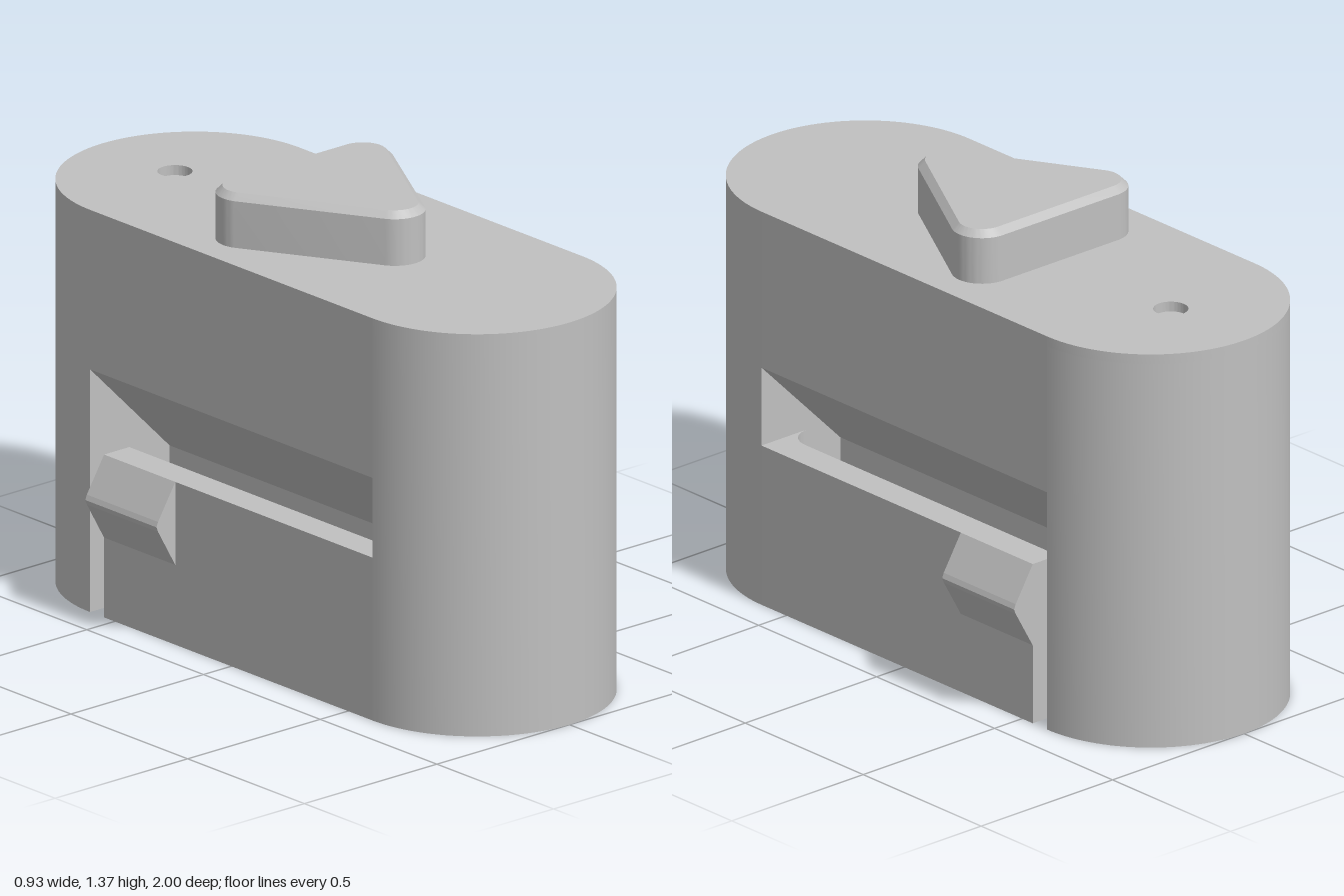
import * as THREE from 'three';
import { toCreasedNormals } from 'three/addons/utils/BufferGeometryUtils.js';

const R = 0.395;      // half width and end radius
const ZC = 0.605;     // centre of the rounded ends
const H = 1.21;       // body height
const ARM_TOP = 0.49;

const casing = new THREE.MeshStandardMaterial({ color: 0xc0c0c0 });
casing.name = 'casing grey';

const polygon = (points) => new THREE.Shape(points.map(([x, y]) => new THREE.Vector2(x, y)));

// Plan outline (x, z) extruded between two heights
function plan(shape, y0, y1, options = {}) {
  const g = new THREE.ExtrudeGeometry(shape, { depth: y1 - y0, bevelEnabled: false, curveSegments: 32, ...options });
  g.rotateX(Math.PI / 2);
  g.translate(0, y1, 0);
  return toCreasedNormals(g, 0.5);
}

// Front profile (x, y) extruded from z0 to z1
function profile(points, z0, z1) {
  const g = new THREE.ExtrudeGeometry(polygon(points), { depth: z1 - z0, bevelEnabled: false });
  return g.translate(0, 0, z0);
}

export function createModel() {
  const model = new THREE.Group();
  model.name = 'clipHousing';
  const add = (name, geometry) => {
    const mesh = new THREE.Mesh(geometry, casing);
    mesh.name = name;
    model.add(mesh);
  };

  // Middle block with sloped undercuts above the narrow core
  const half = [[0.095, 0], [0.095, 0.43], [R, 0.73], [R, H]];
  const mirrored = half.map(([x, y]) => [-x, y]).reverse();
  add('core', profile([...half, ...mirrored], -ZC, ZC));

  // Rounded ends; the rear one has a shallow round recess on top
  const front = new THREE.Shape();
  front.absarc(0, ZC, R, 0, Math.PI, false);
  add('frontEnd', plan(front, 0, H));

  const back = new THREE.Shape();
  back.absarc(0, -ZC, R, Math.PI, 2 * Math.PI, false);
  add('backEnd', plan(back, 0, H - 0.03));
  const backTop = back.clone();
  const hole = new THREE.Path();
  hole.absarc(0, -0.69, 0.05, 0, 2 * Math.PI, true);
  backTop.holes.push(hole);
  add('backEndTop', plan(backTop, H - 0.03, H));

  // Spring arms, filleted at the front root, with a snap wedge near the free end
  for (const [side, s] of [['left', 1], ['right', -1]]) {
    const outline = [[R, ZC], [R, -0.545], [0.3, -0.545]];
    for (let i = 0; i <= 10; i++) {
      const a = (i / 10) * Math.PI / 2;
      outline.push([0.22 + 0.08 * Math.cos(a), 0.525 + 0.08 * Math.sin(a)]);
    }
    add(side + 'Arm', plan(polygon(outline.map(([x, z]) => [s * x, z])), 0, ARM_TOP));

    const wedge = [[0.38, ARM_TOP], [R, ARM_TOP], [0.46, 0.385], [0.466, 0.37], [0.46, 0.355], [R, 0.24], [0.38, 0.24]];
    add(side + 'SnapWedge', profile(wedge.map(([x, y]) => [s * x, y]), -0.545, -0.24));
  }

  // Rounded triangular button with a chamfered top
  const triangle = new THREE.Shape();
  [[0.22, -0.135], [0, 0.252], [-0.22, -0.135]].forEach(([x, z], i) => {
    const a = -Math.PI / 2 + i * 2 * Math.PI / 3;
    triangle.absarc(x, z, 0.087, a, a + 2 * Math.PI / 3, false);
  });
  add('triangleButton', plan(triangle, 1.19, 1.35, {
    bevelEnabled: true, bevelThickness: 0.02, bevelSize: 0.02, bevelOffset: -0.02, bevelSegments: 1, curveSegments: 12,
  }));

  return model;
}
